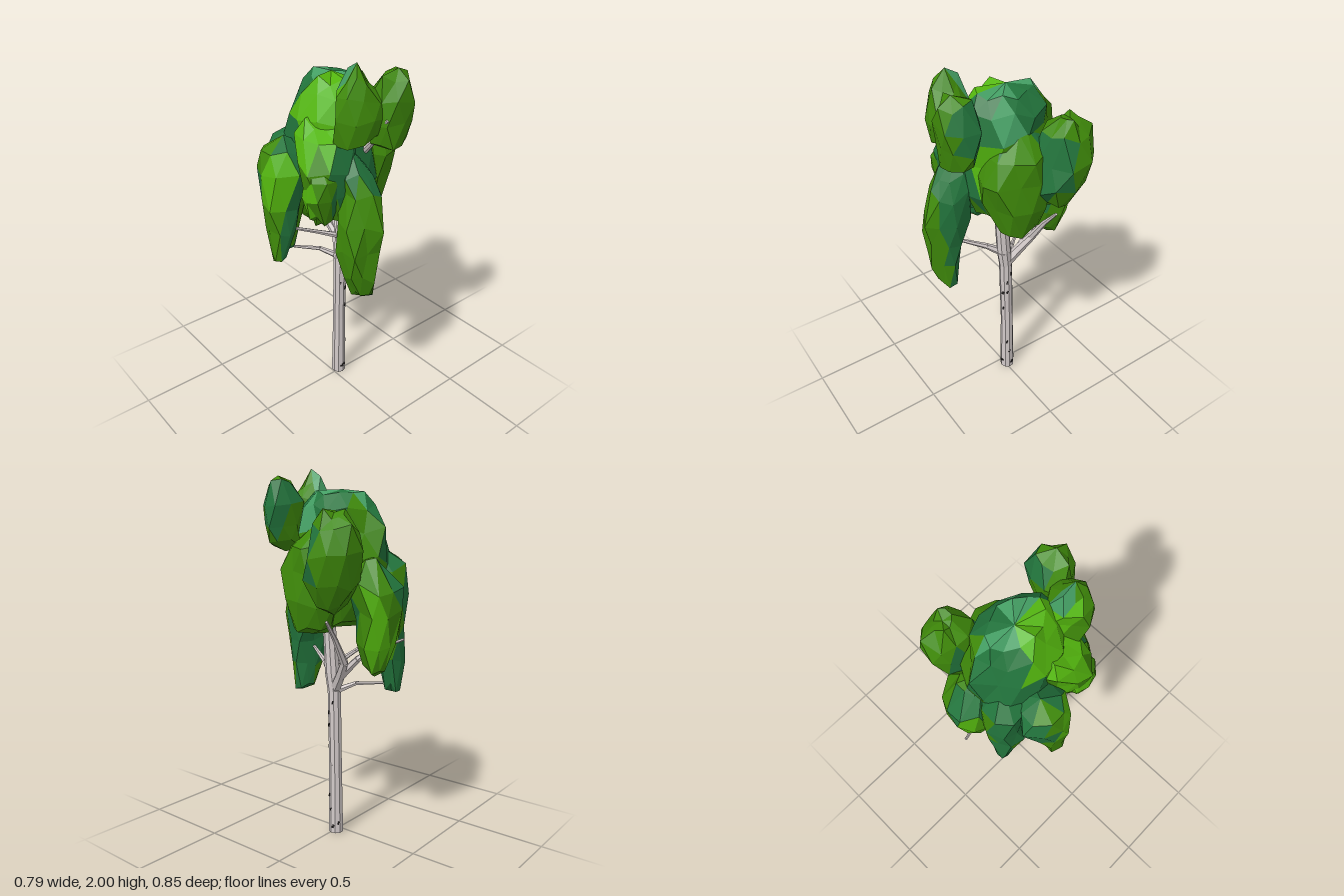
import * as THREE from 'three';
import { mergeGeometries } from 'three/addons/utils/BufferGeometryUtils.js';

const mat = (name, color) => {
  const m = new THREE.MeshStandardMaterial({ color });
  m.name = name;
  return m;
};

function seeded(seed) {
  return () => {
    seed = (seed * 16807) % 2147483647;
    return seed / 2147483647;
  };
}

// Flat-shaded loft: rows are [x, y, z, rx, rz] from bottom to top; pick(dir) gives the colour index
function loft(rows, sides, jitter, pick, colours, seed) {
  const rnd = seeded(seed * 7919 + 13);
  for (let k = 0; k < 5; k++) rnd();
  const rings = rows.map(([x, y, z, rx, rz], j) => Array.from({ length: sides }, (_, i) => {
    const t = ((i + j * 0.5) / sides) * Math.PI * 2 + (rnd() - 0.5) * jitter;
    const k = 1 + (rnd() - 0.5) * 2 * jitter;
    const dy = rx ? (rnd() - 0.5) * jitter * 0.4 : 0;
    return new THREE.Vector3(x + Math.cos(t) * rx * k, y + dy, z + Math.sin(t) * rz * k);
  }));
  const lo = rows[0], hi = rows[rows.length - 1];
  const mid = new THREE.Vector3();
  rows.forEach(r => mid.add(new THREE.Vector3(r[0], 0, r[2]).divideScalar(rows.length)));
  mid.y = (lo[1] + hi[1]) / 2;
  const half = (hi[1] - lo[1]) / 2, wide = Math.max(...rows.map(r => r[3]));
  const lists = colours.map(() => []);
  const tri = (a, b, c) => {
    const d = new THREE.Vector3().add(a).add(b).add(c).divideScalar(3).sub(mid);
    d.set(d.x / wide, d.y / half, d.z / wide).normalize();
    for (const p of [a, b, c]) lists[pick(d)].push(p.x, p.y, p.z);
  };
  for (let j = 0; j + 1 < rings.length; j++) for (let i = 0; i < sides; i++) {
    const n = (i + 1) % sides;
    const [a, b, c, d] = [rings[j][i], rings[j][n], rings[j + 1][i], rings[j + 1][n]];
    if (rows[j][3]) tri(a, c, b);
    if (rows[j + 1][3]) tri(b, c, d);
  }
  const geo = new THREE.BufferGeometry();
  geo.setAttribute('position', new THREE.Float32BufferAttribute(lists.flat(), 3));
  let start = 0;
  lists.forEach((l, k) => {
    if (l.length) geo.addGroup(start, l.length / 3, k);
    start += l.length / 3;
  });
  geo.computeVertexNormals();
  return new THREE.Mesh(geo, colours);
}

export function createModel() {
  const tree = new THREE.Group();
  const bark = mat('pale bark', 0xd2cac9), dark = mat('dark bark marks', 0x2a2727);
  const leaves = [mat('leaf green', 0x3f8a0a), mat('bright leaf green', 0x53b50e),
    mat('blue green', 0x22743c), mat('light blue green', 0x45a065)];
  const G = 0, L = 1, T = 2, P = 3;

  // Foliage clump: each patch [x, y, z, colour] paints the faces nearest its direction
  let seed = 1;
  const clump = (name, rows, patches, sides = 9, jitter = 0.16) => {
    const seeds = patches.map(([x, y, z, c]) => [new THREE.Vector3(x, y, z).normalize(), c]);
    const pick = d => seeds.reduce((best, s) => (s[0].dot(d) > best[0].dot(d) ? s : best))[1];
    const mesh = loft(rows, sides, jitter, pick, leaves, seed++);
    mesh.name = name;
    tree.add(mesh);
  };

  clump('mainCrown', [[0.03, 1.17, 0, 0, 0], [0.03, 1.2, 0, 0.13, 0.15], [0.01, 1.36, -0.02, 0.19, 0.23],
    [0, 1.53, -0.03, 0.21, 0.27], [0, 1.68, -0.02, 0.195, 0.25], [0.01, 1.79, -0.01, 0.165, 0.21],
    [0.01, 1.86, 0, 0.11, 0.15], [0, 1.885, -0.02, 0, 0]],
  [[0.8, 0.9, 0, T], [0.3, 1, -0.2, T], [-0.1, 1, -0.25, P], [0.05, 1, 0.1, P], [-0.35, 1, 0.2, L], [-0.7, 0.7, 0.1, L],
    [-0.4, 0.8, 0.6, L], [0, 0.2, 1, T], [1, 0, 0.3, G], [1, 0.1, -0.6, G], [-0.2, 0.3, -1, T], [0.4, 0.4, -1, G],
    [-1, 0, -0.4, T], [-1, 0, 0.5, L], [0, -1, 0, G], [0.7, 0.6, 0.5, P], [0.3, -0.4, -1, G], [-0.5, 0.7, -0.7, T],
    [0.6, 0.2, 0.9, L], [0.4, 0.7, 0.8, T]], 12, 0.12);

  clump('leftFrontClump', [[0.18, 1.15, 0.03, 0, 0], [0.175, 1.18, 0.03, 0.09, 0.11], [0.16, 1.32, 0.03, 0.135, 0.165],
    [0.155, 1.48, 0.03, 0.15, 0.175], [0.15, 1.61, 0.02, 0.13, 0.155], [0.12, 1.71, 0, 0.06, 0.07], [0.11, 1.74, 0, 0, 0]],
  [[1, 0, 0, G], [0, 0, 1, G], [0, 0, -1, G], [0, -1, 0, G], [-0.6, 1, 0.3, T], [0.8, 0.7, 0, G], [-1, 0, 0, T],
    [0.1, 1, -0.4, T]], 10);

  clump('rightFrontClump', [[-0.12, 1.17, 0.13, 0, 0], [-0.13, 1.21, 0.13, 0.11, 0.1], [-0.145, 1.36, 0.14, 0.15, 0.13],
    [-0.145, 1.5, 0.14, 0.155, 0.14], [-0.13, 1.61, 0.1, 0.135, 0.15], [-0.11, 1.68, 0.06, 0.09, 0.1], [-0.1, 1.72, 0.04, 0, 0]],
  [[-1, 0.3, -0.1, L], [-0.3, 1, 0, L], [0.4, 0, 1, T], [-0.1, 0.2, 1, T], [-0.35, 0, 0.95, T], [-0.5, -0.8, 0.6, G],
    [-0.7, -0.7, 0, G], [0.5, 0.7, 0.6, G], [-0.7, -0.3, -1, G], [-0.9, 0, 0.5, G], [0.2, 0.6, 0.9, T],
    [-0.6, 0.9, 0.6, L]], 10, 0.13);

  clump('rightCornerClump', [[-0.22, 1.2, 0.17, 0, 0], [-0.22, 1.24, 0.17, 0.06, 0.05], [-0.225, 1.36, 0.18, 0.09, 0.085],
    [-0.225, 1.48, 0.18, 0.08, 0.08], [-0.21, 1.56, 0.15, 0.05, 0.05], [-0.2, 1.6, 0.13, 0, 0]],
  [[-1, 0.2, 0, L], [0, 1, 0, L], [-0.4, -0.4, 1, G], [0.6, 0, 1, T], [0, -1, 0, G], [-0.6, 0.4, 0.8, G]], 8);

  clump('leftBackClump', [[0.23, 1.27, -0.15, 0, 0], [0.24, 1.31, -0.15, 0.08, 0.08], [0.25, 1.43, -0.16, 0.125, 0.14],
    [0.265, 1.57, -0.175, 0.13, 0.145], [0.27, 1.69, -0.18, 0.115, 0.12], [0.28, 1.765, -0.19, 0.05, 0.05], [0.28, 1.77, -0.19, 0, 0]],
  [[0.2, 1, -0.4, G], [0.4, 0.1, 1, T], [1, 0, -0.2, G], [0, 0, -1, G], [-1, 0, 0, T], [0, -1, 0, G],
    [0.9, 0, 0.6, T], [0.8, -0.7, 0, G], [-0.5, 0.9, 0.1, G]]);

  clump('rightHangingClump', [[-0.32, 0.91, -0.05, 0, 0], [-0.325, 0.93, -0.05, 0.04, 0.04], [-0.305, 1.1, -0.06, 0.07, 0.075],
    [-0.28, 1.24, -0.08, 0.1, 0.11], [-0.265, 1.4, -0.095, 0.125, 0.135], [-0.25, 1.52, -0.1, 0.115, 0.12],
    [-0.24, 1.59, -0.1, 0, 0]],
  [[-0.5, 0.6, 0.8, L], [-1, 0.4, 0.2, L], [-0.7, 0.8, -0.3, G], [-0.4, 0.4, -0.9, T], [0, -0.5, 1, T], [0.4, 1, 0, T],
    [-0.6, -0.6, -0.6, G], [0, 0, -1, T], [1, -0.4, 0, T], [-1, -0.5, 0.4, G], [0.3, 0.2, 1, T], [-0.9, 0.1, -0.5, T],
    [-0.4, -0.1, 1, T]], 8);

  clump('frontHangingClump', [[-0.05, 0.76, 0.31, 0, 0], [-0.065, 0.79, 0.31, 0.055, 0.06], [-0.09, 0.92, 0.31, 0.095, 0.09],
    [-0.1, 1.06, 0.31, 0.11, 0.1], [-0.08, 1.22, 0.3, 0.115, 0.125], [-0.06, 1.36, 0.27, 0.1, 0.11],
    [-0.07, 1.46, 0.24, 0.085, 0.09], [-0.08, 1.58, 0.22, 0, 0]],
  [[-0.1, 0, 1, G], [1, 0.1, -0.2, T], [1, 0.2, 0.5, T], [-1, 0, 0.2, G], [0, 1, 0.2, T], [0.4, -0.7, 0.8, G],
    [0, 0, -1, T], [0.7, -1, 0.1, T], [-0.5, -0.8, 0.2, G], [-0.1, 0.4, 0.9, G], [0.2, 0.7, 0.7, T], [1, -0.4, 0.3, T]]);

  clump('backClump', [[0.05, 0.94, -0.27, 0, 0], [0.05, 0.98, -0.27, 0.06, 0.06], [0.05, 1.12, -0.28, 0.105, 0.105],
    [0.045, 1.27, -0.29, 0.13, 0.12], [0.06, 1.4, -0.28, 0.125, 0.12], [0.06, 1.52, -0.24, 0.07, 0.07], [0.06, 1.55, -0.22, 0, 0]],
  [[1, 0, 0, G], [0.4, 0.3, -1, G], [0.7, 1, 0, G], [-0.5, 0.8, -0.4, T], [0, -1, 0, G], [0.8, -0.2, -0.7, L],
    [-1, -0.3, -0.2, G], [0.7, 0.3, 0.7, T], [-0.1, 0.5, -1, T], [-0.5, 0, -1, L]]);

  clump('backHangingClump', [[-0.14, 0.82, -0.25, 0, 0], [-0.14, 0.85, -0.25, 0.04, 0.04], [-0.14, 1, -0.24, 0.07, 0.07],
    [-0.13, 1.16, -0.23, 0.1, 0.095], [-0.115, 1.33, -0.22, 0.115, 0.105], [-0.1, 1.48, -0.21, 0.12, 0.105], [-0.07, 1.62, -0.17, 0, 0]],
  [[-1, 0, -1, T], [0, 1, 0, T], [1, -0.3, 0, G], [0, -0.8, -0.6, T], [-0.8, -0.8, 0.5, G], [0.6, 0, -1, G],
    [-1, 0.4, 0.3, T]], 8);

  clump('topRightClump', [[-0.06, 1.6, 0.25, 0, 0], [-0.06, 1.64, 0.25, 0.115, 0.1], [-0.06, 1.74, 0.26, 0.125, 0.12],
    [-0.065, 1.84, 0.26, 0.115, 0.1], [-0.08, 1.93, 0.26, 0.06, 0.06], [-0.08, 2, 0.26, 0, 0]],
  [[0, 0, 1, G], [-1, 0, 0, G], [0, 1, 0.3, G], [-0.3, 0.7, -0.7, P], [0, 0, -1, L], [0, -1, 0, G],
    [-0.8, 0.4, -0.6, L], [1, 0, 0, G], [0.8, 0, -0.8, G]], 8);

  clump('topLeftClump', [[0.08, 1.56, 0.31, 0, 0], [0.085, 1.61, 0.31, 0.09, 0.075], [0.09, 1.71, 0.31, 0.115, 0.105],
    [0.095, 1.82, 0.305, 0.12, 0.11], [0.1, 1.91, 0.32, 0.075, 0.075], [0.1, 1.96, 0.34, 0, 0]],
  [[-0.2, 0.1, 1, G], [-0.2, 1, 0.2, G], [1, 0, 0, T], [0.5, 0.4, -0.7, T], [-1, 0, 0, G], [0, -1, 0, G],
    [0.9, -0.5, 0.6, G], [0.3, 0, -1, G]], 8);

  // Woody parts: tapering flat-sided segments through [x, y, z, radius]
  const limb = (name, pts, sides) => {
    const parts = pts.slice(1).map((p, i) => {
      const from = new THREE.Vector3(...pts[i]), to = new THREE.Vector3(...p);
      const along = to.clone().sub(from);
      const geo = new THREE.CylinderGeometry(p[3], pts[i][3], along.length(), sides).toNonIndexed();
      geo.applyQuaternion(new THREE.Quaternion().setFromUnitVectors(new THREE.Vector3(0, 1, 0), along.clone().normalize()));
      geo.translate(...from.add(to).multiplyScalar(0.5).toArray());
      return geo;
    });
    const geo = mergeGeometries(parts);
    geo.computeVertexNormals();
    const mesh = new THREE.Mesh(geo, bark);
    mesh.name = name;
    tree.add(mesh);
  };
  limb('trunk', [[0.042, 0, -0.012, 0.041], [0.042, 0.4, -0.008, 0.036], [0.04, 0.82, 0.002, 0.037],
    [0.042, 0.92, 0.015, 0.04], [0.042, 1.18, 0.035, 0.036], [0.03, 1.45, 0.12, 0.026], [0.02, 1.62, 0.28, 0.018],
    [0.01, 1.74, 0.375, 0.008]], 9);
  limb('frontBranch', [[0.04, 0.9, 0.01, 0.026], [0, 0.96, 0.1, 0.016], [-0.07, 1.03, 0.25, 0.008]], 6);
  limb('leftBranch', [[0.045, 0.84, -0.01, 0.03], [0.07, 0.91, -0.06, 0.028], [0.11, 1, -0.12, 0.022],
    [0.2, 1.14, -0.13, 0.014], [0.28, 1.24, -0.14, 0.008]], 6);
  limb('backBranch', [[0.07, 0.91, -0.06, 0.024], [0.06, 1.02, -0.17, 0.018], [0.04, 1.06, -0.22, 0.012],
    [-0.02, 1.14, -0.4, 0.007]], 6);
  limb('lowBackBranch', [[0.04, 0.82, -0.01, 0.02], [-0.03, 0.86, -0.09, 0.012], [-0.13, 0.86, -0.2, 0.007]], 6);
  limb('rightBranch', [[0.04, 0.96, 0.01, 0.018], [-0.1, 1.02, -0.03, 0.011], [-0.29, 1.1, -0.08, 0.007]], 6);

  // Dark bark marks: [height, angle from front towards left, width]
  const marks = new THREE.Group();
  marks.name = 'barkMarks';
  const spots = [[0.05, 0.0, 0.026], [0.04, 1.8, 0.016], [0.14, 1.4, 0.01], [0.22, 1.0, 0.01], [0.5, 0.4, 0.009],
    [0.62, 0.4, 0.015], [0.63, 1.2, 0.011], [0.66, -0.6, 0.011], [0.7, 1.1, 0.008], [0.06, 2.6, 0.012], [0.76, 1.9, 0.009]];
  for (const [y, a, w] of spots) for (const s of [-1, 1]) {
    const r = 0.04 - Math.min(y, 0.4) * 0.0125 - 0.0005;
    const mark = new THREE.Mesh(new THREE.BoxGeometry(w * 0.7, 0.009, 0.007), dark);
    const t = a + s * w * 5;
    mark.position.set(0.042 + Math.sin(t) * r, y + s * 0.005, -0.012 + y * 0.015 + Math.cos(t) * r);
    mark.rotation.y = t;
    mark.name = 'barkMark';
    marks.add(mark);
  }
  tree.add(marks);
  return tree;
}
